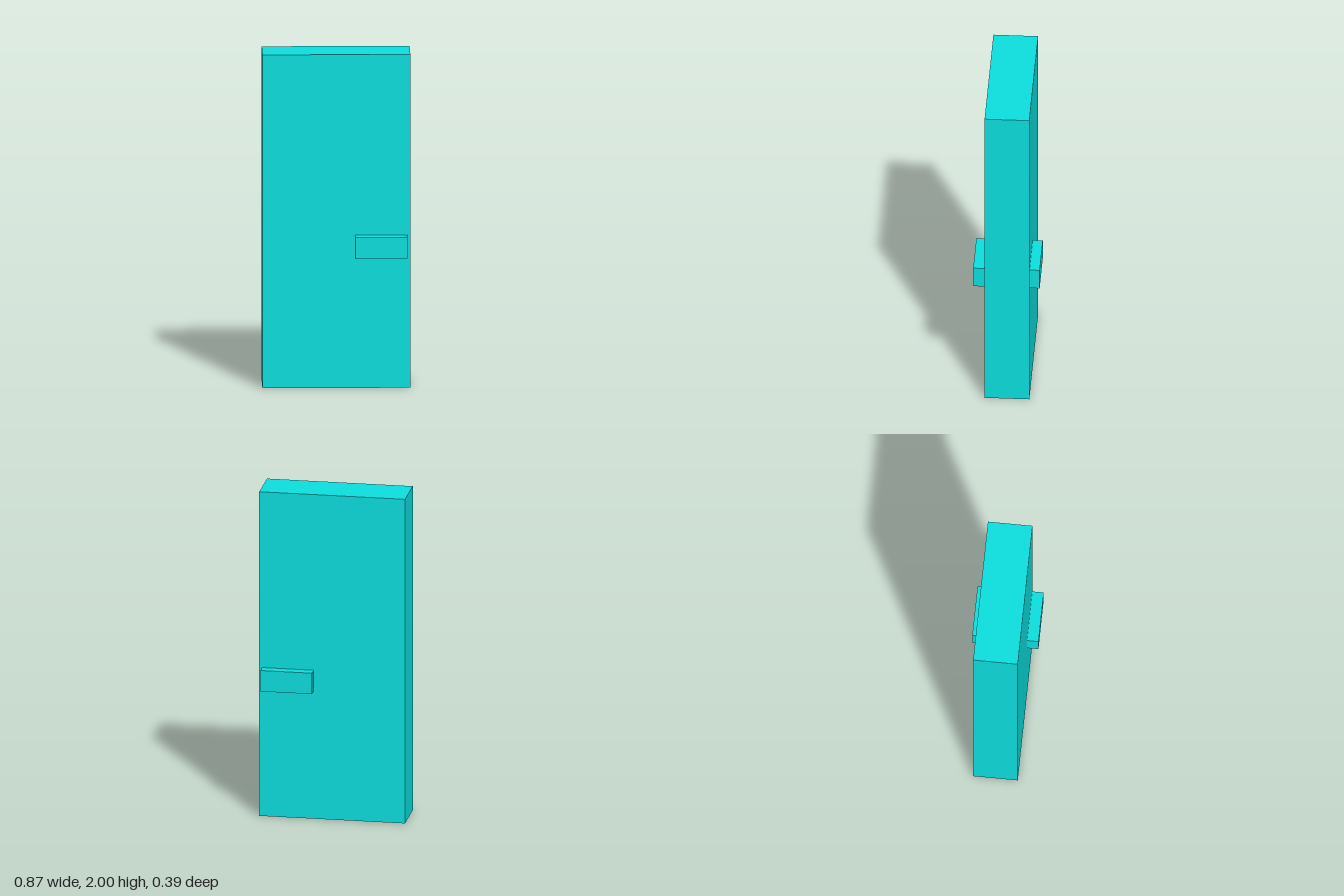
import * as THREE from 'three';

export function createModel() {
  const group = new THREE.Group();
  const material = new THREE.MeshStandardMaterial({ color: 0x0de0e0 });

  // Box given by its minimum and maximum corners
  const addBox = (name, min, max) => {
    const size = max.map((v, i) => v - min[i]);
    const mesh = new THREE.Mesh(new THREE.BoxGeometry(...size), material);
    mesh.position.set(...min.map((v, i) => v + size[i] / 2));
    mesh.name = name;
    group.add(mesh);
  };

  // Door slab
  const back = -0.136, front = 0.128;
  addBox('doorSlab', [-0.436, 0, back], [0.436, 2, front]);

  // Handle blocks, one on each face
  addBox('frontHandle', [0.11, 0.787, front], [0.419, 0.916, 0.196]);
  addBox('backHandle', [0.11, 0.787, -0.196], [0.419, 0.916, back]);

  return group;
}
